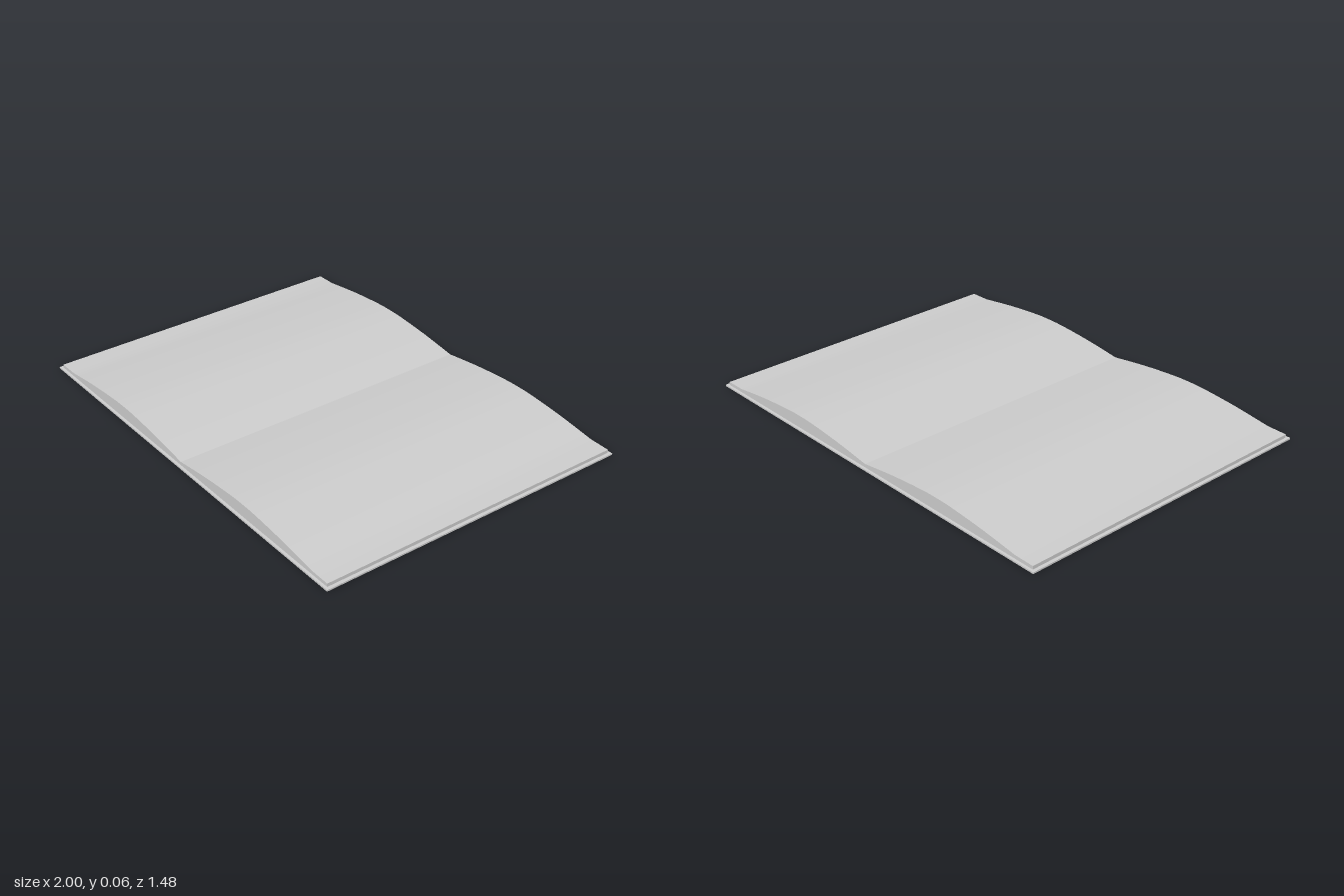
import * as THREE from 'three';
import { toCreasedNormals } from 'three/addons/utils/BufferGeometryUtils.js';

const COVER = { width: 2, height: 0.007, depth: 1.478 };
const PAGE_DEPTH = 1.454;
const PAGE_EDGE = 0.985;

// Arched page surface from the spine out to the flat margin
const ARCH = [[0, 0.023], [0.18, 0.047], [0.35, 0.062], [0.45, 0.065],
  [0.54, 0.062], [0.71, 0.047], [0.89, 0.023]];

function pageBlock(side, material) {
  const shape = new THREE.Shape();
  shape.moveTo(0, COVER.height);
  shape.lineTo(0, ARCH[0][1]);
  const curve = new THREE.SplineCurve(ARCH.map(([x, y]) => new THREE.Vector2(side * x, y)));
  curve.getPoints(18).forEach((p) => shape.lineTo(p.x, p.y));
  shape.lineTo(side * PAGE_EDGE, 0.022);
  shape.lineTo(side * PAGE_EDGE, COVER.height);
  shape.closePath();
  const geometry = new THREE.ExtrudeGeometry(shape, { depth: PAGE_DEPTH, bevelEnabled: false });
  geometry.translate(0, 0, -PAGE_DEPTH / 2);
  const mesh = new THREE.Mesh(toCreasedNormals(geometry, 0.2), material);
  mesh.name = side > 0 ? 'leftPages' : 'rightPages';
  return mesh;
}

export function createModel() {
  const group = new THREE.Group();
  group.name = 'openBook';
  const material = new THREE.MeshStandardMaterial({ color: 0xcccccc });

  // Thin cover lying flat under the pages
  const cover = new THREE.Mesh(new THREE.BoxGeometry(COVER.width, COVER.height, COVER.depth), material);
  cover.name = 'cover';
  cover.position.y = COVER.height / 2;
  group.add(cover);

  // Two mirrored page blocks meeting at the spine
  for (const side of [1, -1]) group.add(pageBlock(side, material));
  return group;
}
